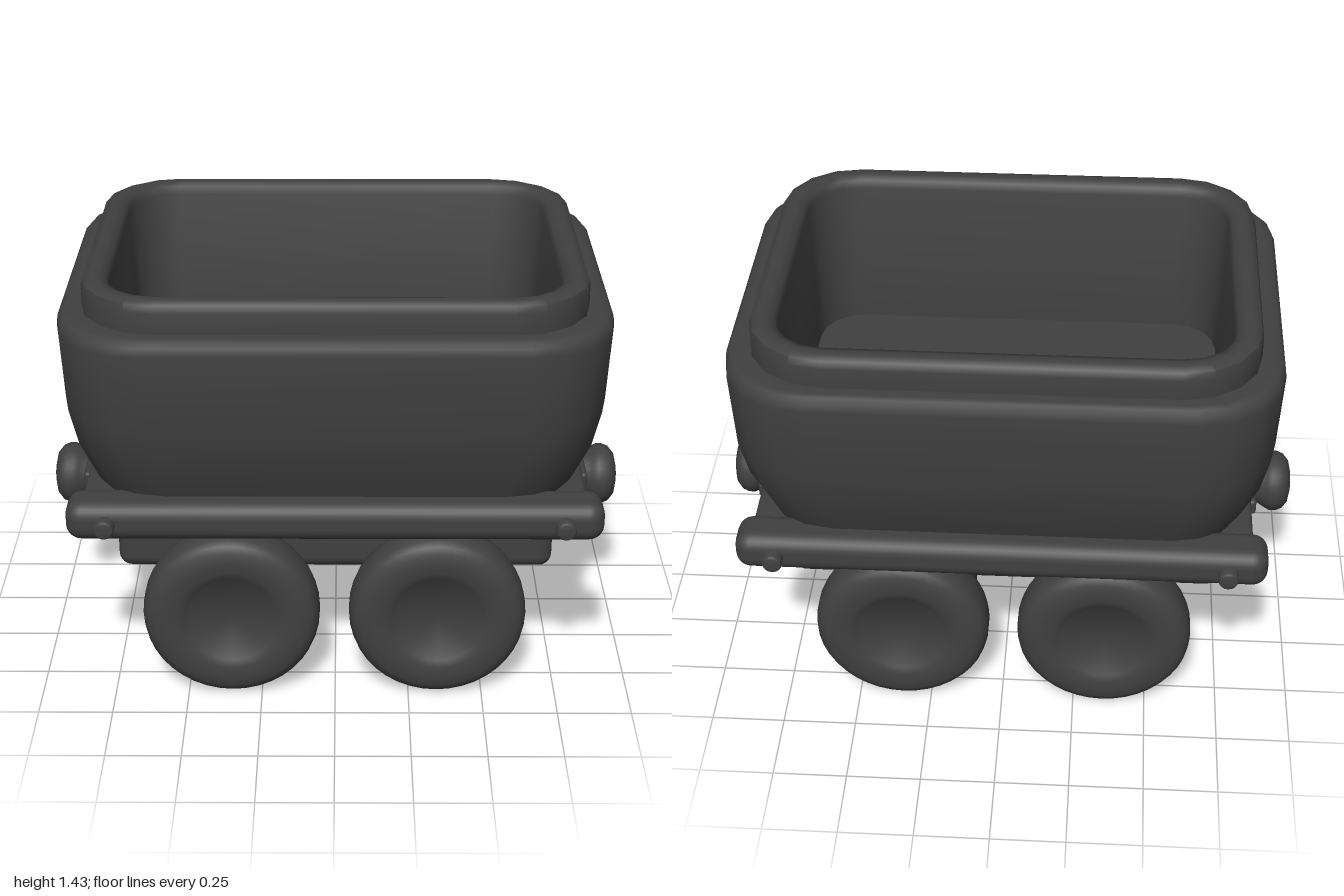
import * as THREE from 'three';
import { toCreasedNormals } from 'three/addons/utils/BufferGeometryUtils.js';
import { RoundedBoxGeometry } from 'three/addons/geometries/RoundedBoxGeometry.js';

const darkIron = new THREE.MeshStandardMaterial({ color: 0x404040 });

function add(parent, name, geometry, x = 0, y = 0, z = 0) {
  const mesh = new THREE.Mesh(geometry, darkIron);
  mesh.name = name;
  mesh.position.set(x, y, z);
  parent.add(mesh);
  return mesh;
}

const roundedBox = (w, h, d, r) => new RoundedBoxGeometry(w, h, d, 3, r);

// Lathe from [radius, height] pairs, creased where the profile turns sharply
function lathe(profile, segments = 40) {
  const points = profile.map(([r, y]) => new THREE.Vector2(r, y));
  return toCreasedNormals(new THREE.LatheGeometry(points, segments), 0.8);
}

// Horizontal rounded-rectangle section, listed as x and z pairs
function section(hx, hz, r, steps = 4) {
  const points = [];
  const corners = [[1, 1], [-1, 1], [-1, -1], [1, -1]];
  corners.forEach(([sx, sz], q) => {
    for (let i = 0; i <= steps; i++) {
      const a = (q + i / steps) * Math.PI / 2;
      points.push([sx * (hx - r) + r * Math.cos(a), sz * (hz - r) + r * Math.sin(a)]);
    }
  });
  return points;
}

// Skin through sections [y, halfX, halfZ, cornerRadius], capped at both ends
function loft(rings) {
  const positions = [], index = [];
  let n = 0;
  for (const [y, hx, hz, r] of rings) {
    const pts = section(hx, hz, r);
    n = pts.length;
    pts.forEach(([x, z]) => positions.push(x, y, z));
  }
  for (let k = 0; k < rings.length - 1; k++) {
    for (let i = 0; i < n; i++) {
      const a = k * n + i, b = k * n + (i + 1) % n;
      index.push(a, a + n, b, b, a + n, b + n);
    }
  }
  const last = (rings.length - 1) * n;
  for (let i = 1; i < n - 1; i++) {
    index.push(0, i, i + 1);
    index.push(last, last + i + 1, last + i);
  }
  const g = new THREE.BufferGeometry();
  g.setAttribute('position', new THREE.Float32BufferAttribute(positions, 3));
  g.setIndex(index);
  return toCreasedNormals(g, 0.9);
}

export function createModel() {
  const model = new THREE.Group();
  model.name = 'mineCart';

  // Hollow tub: outer wall, stepped rim, inner wall and floor
  add(model, 'tub', loft([
    [0.70, 0.785, 0.585, 0.24],
    [0.75, 0.81, 0.605, 0.25],
    [0.88, 0.865, 0.647, 0.27],
    [1.01, 0.892, 0.673, 0.28],
    [1.28, 0.905, 0.684, 0.28],
    [1.31, 0.901, 0.68, 0.28],
    [1.326, 0.888, 0.668, 0.275],
    [1.33, 0.865, 0.65, 0.27],
    [1.33, 0.827, 0.617, 0.26],
    [1.40, 0.827, 0.617, 0.26],
    [1.425, 0.819, 0.609, 0.25],
    [1.435, 0.795, 0.585, 0.23],
    [1.435, 0.77, 0.56, 0.205],
    [1.425, 0.745, 0.533, 0.18],
    [1.40, 0.735, 0.522, 0.17],
    [0.87, 0.72, 0.505, 0.155],
  ]), 0, 0, 0.005);

  // Frame beams with bolts
  for (const s of [1, -1]) {
    add(model, 'sideBeam', roundedBox(1.765, 0.135, 0.163, 0.052), 0, 0.683, 0.005 + s * 0.603);
    add(model, 'endBeam', roundedBox(0.14, 0.095, 1.1, 0.02), s * 0.765, 0.683, 0.005);
    for (const x of [-0.75, 0.75]) {
      const bolt = add(model, 'sideBolt',
        lathe([[0, -0.05], [0.033, -0.05], [0.033, 0.043], [0.03, 0.049], [0.024, 0.051], [0, 0.051]], 16),
        x, 0.683, 0.004 + s * 0.674);
      bolt.rotation.x = s * Math.PI / 2;
    }
    for (const z of [0.30, -0.26]) {
      add(model, 'endPlate', roundedBox(0.05, 0.056, 0.14, 0.012), s * 0.83, 0.683, z);
    }
  }

  // Undercarriage
  const chassis = new THREE.Group();
  chassis.name = 'chassis';
  chassis.position.z = 0.02;
  model.add(chassis);
  add(chassis, 'baseBlock', roundedBox(1.48, 0.245, 0.88, 0.045), 0, 0.513, 0);

  // Buffers: a shaft flaring into a domed head
  for (const s of [1, -1]) {
    const buffer = add(chassis, 'buffer', lathe([
      [0, 0.70], [0.072, 0.70], [0.072, 0.87], [0.098, 0.912], [0.107, 0.93],
      [0.107, 0.95], [0.098, 0.972], [0.075, 0.99], [0.04, 0.998], [0, 1.0],
    ], 32), 0, 0.536, 0);
    buffer.rotation.z = -s * Math.PI / 2;
  }

  // Axles, flat-topped axle boxes and wheels
  const tyre = [
    [0, -0.07], [0.148, -0.07], [0.158, -0.079], [0.185, -0.086], [0.22, -0.088],
    [0.255, -0.084], [0.278, -0.072], [0.292, -0.052], [0.298, -0.025],
  ];
  const wheelProfile = [...tyre, ...tyre.map(([r, y]) => [r, -y]).reverse()];
  for (const x of [-0.35, 0.345]) {
    add(chassis, 'axleBox', loft([
      [0.205, 0.185, 0.315, 0.02],
      [0.209, 0.21, 0.34, 0.03],
      [0.223, 0.228, 0.358, 0.04],
      [0.25, 0.235, 0.367, 0.045],
      [0.384, 0.235, 0.367, 0.045],
    ]), x, 0, 0);
    const axle = add(chassis, 'axle', new THREE.CylinderGeometry(0.057, 0.057, 1.05, 24), x, 0.302, 0);
    axle.rotation.x = Math.PI / 2;
    for (const s of [1, -1]) {
      const wheel = add(chassis, 'wheel', lathe(wheelProfile), x, 0.298, -0.002 + s * 0.545);
      wheel.rotation.x = Math.PI / 2;
    }
  }
  return model;
}
